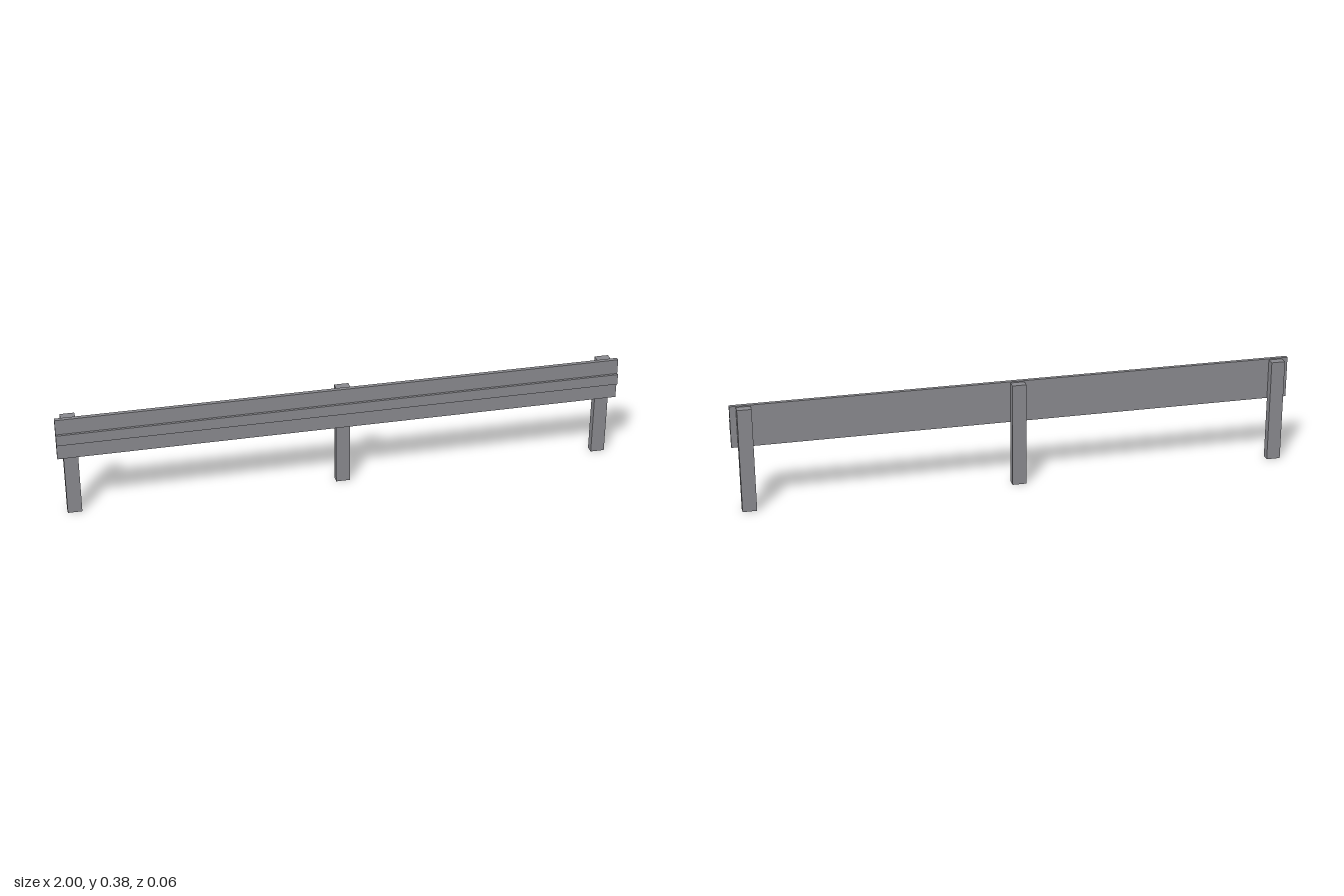
import * as THREE from 'three';

export function createModel() {
  const model = new THREE.Group();
  model.name = 'guardRail';

  const steel = new THREE.MeshStandardMaterial({ color: 0x88888d });
  steel.name = 'grey steel';

  // Box given by its centre x, width and its y and z extents
  const addBox = (name, x, width, [y0, y1], [z0, z1]) => {
    const mesh = new THREE.Mesh(new THREE.BoxGeometry(width, y1 - y0, z1 - z0), steel);
    mesh.name = name;
    mesh.position.set(x, (y0 + y1) / 2, (z0 + z1) / 2);
    model.add(mesh);
  };

  // Long rail plate with a raised rib along its front
  addBox('railPlate', 0, 2, [0.228, 0.378], [0.005, 0.02]);
  addBox('railRib', 0, 2, [0.284, 0.323], [0.02, 0.029]);

  // Three posts standing just behind the rail
  const posts = { rightPost: -0.953, middlePost: 0, leftPost: 0.953 };
  for (const [name, x] of Object.entries(posts)) {
    addBox(name, x, 0.05, [0, 0.375], [-0.028, 0.002]);
  }

  return model;
}
